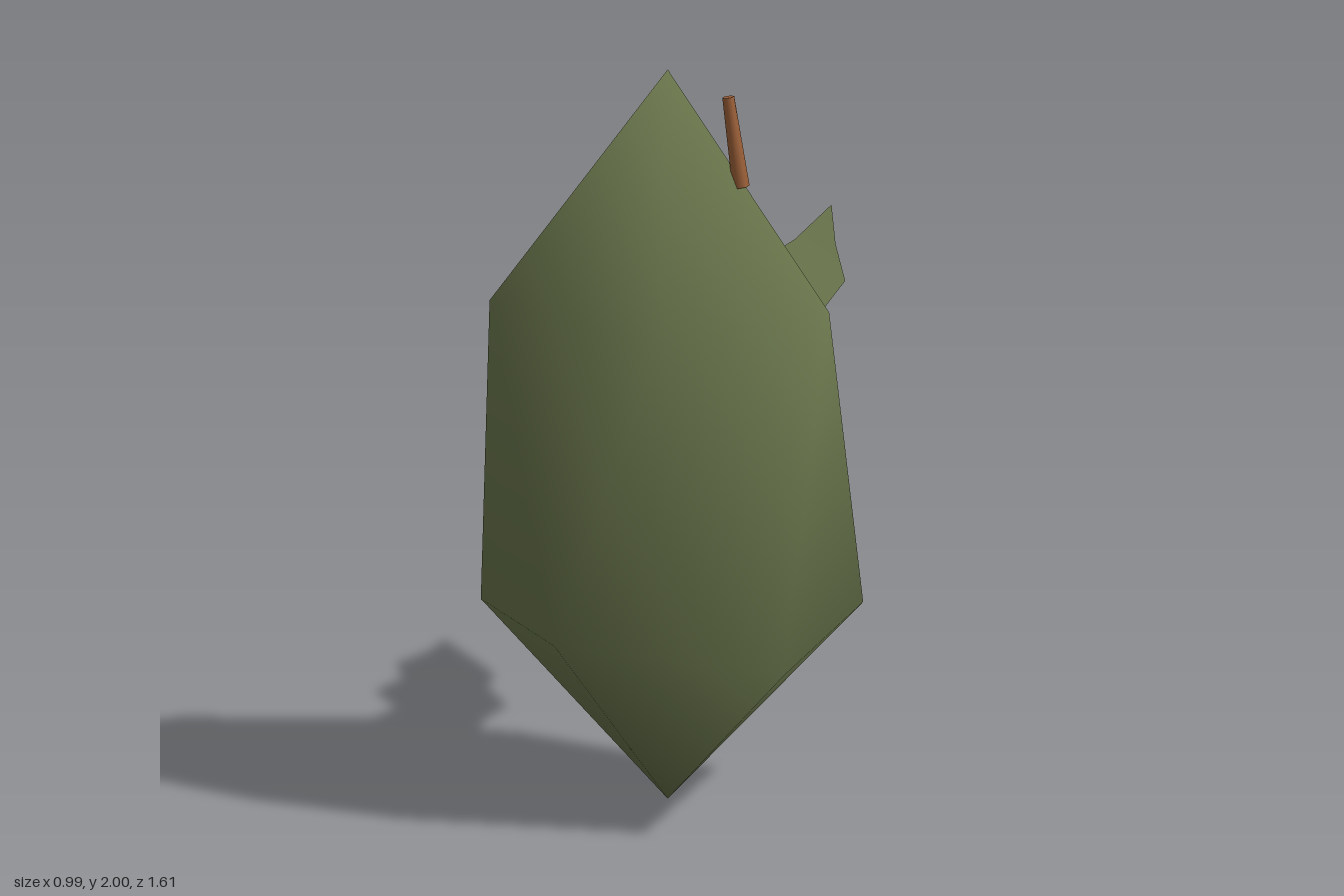
import * as THREE from 'three';

// Indexed geometry with smooth shared normals
function meshFrom(points, faces) {
  const g = new THREE.BufferGeometry();
  g.setAttribute('position', new THREE.Float32BufferAttribute(points.flat(), 3));
  g.setIndex(faces.flat());
  g.computeVertexNormals();
  return g;
}

export function createModel() {
  const group = new THREE.Group();
  const green = new THREE.MeshStandardMaterial({ color: 0x6b774d, side: THREE.DoubleSide });
  green.name = 'fruit green';
  const brown = new THREE.MeshStandardMaterial({ color: 0x9c6038 });
  brown.name = 'stem brown';

  const add = (name, geometry, material) => {
    const mesh = new THREE.Mesh(geometry, material);
    mesh.name = name;
    group.add(mesh);
    return mesh;
  };

  // Fruit: two poles and two staggered, slightly uneven five-point rings
  const upper = [[0.493, 1.38, 0.36], [0.178, 1.38, 0.79], [-0.357, 1.4, 0.645], [-0.29, 1.38, 0.13], [0.178, 1.365, -0.035]];
  const lower = [[0.493, 0.47, 0.69], [-0.11, 0.52, 0.805], [-0.495, 0.49, 0.36], [-0.113, 0.525, -0.07], [0.465, 0.5, 0.047]];
  const points = [[0.037, 2, 0.365], ...upper, ...lower, [0.037, 0, 0.365]];
  const faces = [];
  for (let i = 0; i < 5; i++) {
    const j = (i + 1) % 5;
    const u = 1 + i, un = 1 + j, l = 6 + i, ln = 6 + j;
    faces.push([0, un, u], [u, un, l], [l, un, ln], [11, l, ln]);
  }
  add('fruit', meshFrom(points, faces), green);

  // Leaf: wavy-edged strip of [half width, y, z] rows rising to a tip
  const rows = [[0.165, 1.02, 0.04], [0.129, 1.02, -0.165], [0.188, 1.08, -0.285],
    [0.12, 1.135, -0.435], [0.141, 1.19, -0.55], [0.058, 1.245, -0.69]];
  const leafPoints = rows.flatMap(([w, y, z]) => [[0.036 - w, y, z], [0.036 + w, y, z]]);
  leafPoints.push([0.036, 1.315, -0.807]);
  const leafFaces = [];
  for (let i = 0; i < 10; i += 2) leafFaces.push([i, i + 1, i + 2], [i + 1, i + 3, i + 2]);
  leafFaces.push([10, 11, 12]);
  add('leaf', meshFrom(leafPoints, leafFaces), green);

  // Stem: thin tapered stick leaning inward
  const from = new THREE.Vector3(0.244, 1.7, 0.363);
  const to = new THREE.Vector3(0.208, 1.942, 0.363);
  const axis = to.clone().sub(from);
  const stem = add('stem', new THREE.CylinderGeometry(0.016, 0.023, axis.length(), 6), brown);
  stem.position.copy(from).add(to).multiplyScalar(0.5);
  stem.quaternion.setFromUnitVectors(new THREE.Vector3(0, 1, 0), axis.normalize());

  return group;
}
